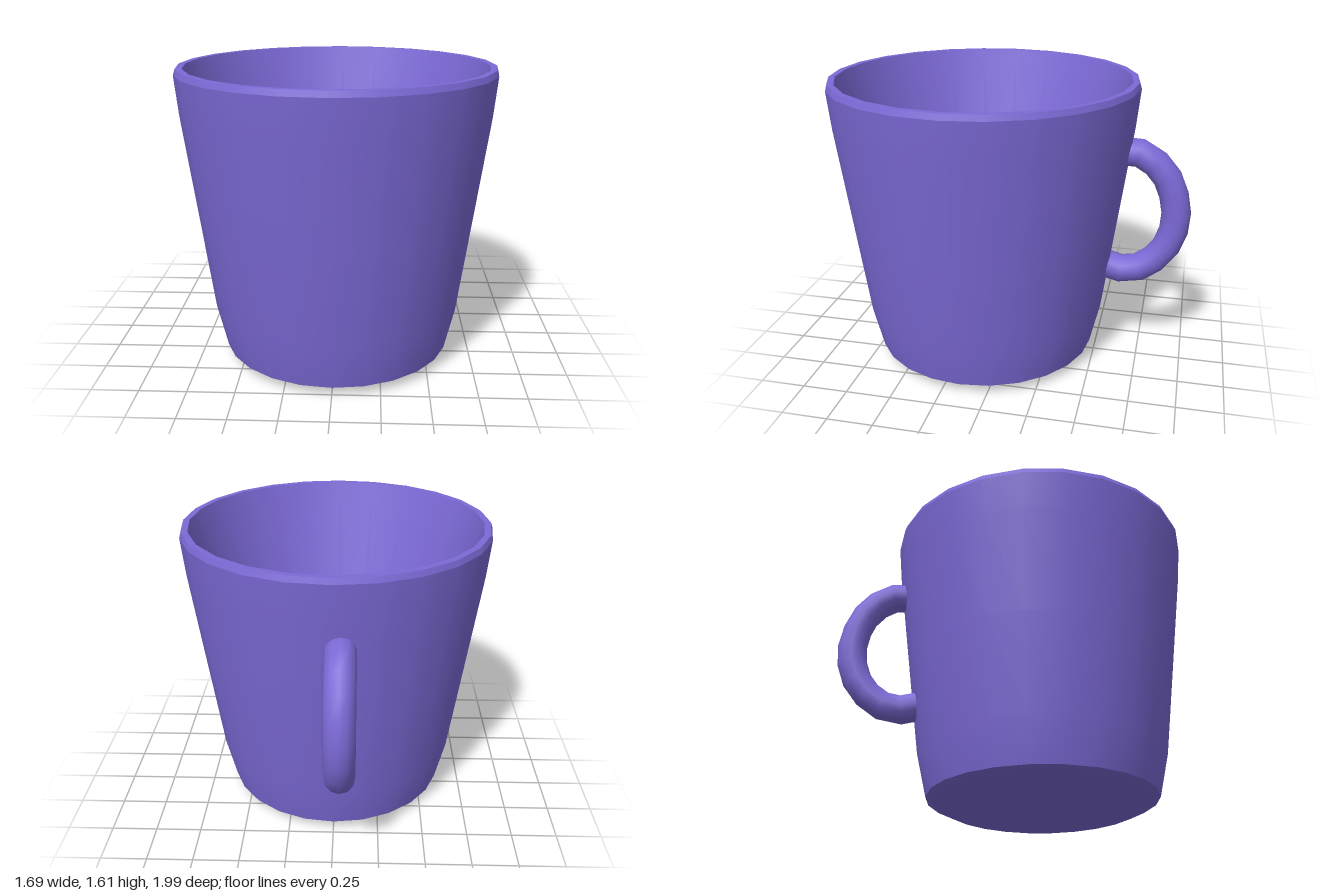
import * as THREE from 'three';

const violet = new THREE.MeshStandardMaterial({ color: 0x7c69d6 });
violet.name = 'violet';

// One smooth band of the cup; bands meet in sharp edges
function band(name, points) {
  const profile = points.map(([r, y]) => new THREE.Vector2(r, y));
  const mesh = new THREE.Mesh(new THREE.LatheGeometry(profile, 24), violet);
  mesh.name = name;
  return mesh;
}

export function createModel() {
  const model = new THREE.Group();
  model.name = 'mug';

  // Tapered cup, set forward to leave room for the handle
  const cup = new THREE.Group();
  cup.name = 'cup';
  cup.position.z = 0.15;
  cup.add(
    band('base', [[0, 0], [0.12, 0], [0.53, 0.01], [0.625, 0.055]]),
    band('outerWall', [[0.625, 0.055], [0.68, 0.29], [0.75, 0.81], [0.825, 1.37], [0.845, 1.575]]),
    band('rimEdge', [[0.845, 1.575], [0.835, 1.605]]),
    band('rim', [[0.835, 1.605], [0.8, 1.605]]),
    band('innerWall', [[0.8, 1.605], [0.36, 0.13]]),
    band('floorEdge', [[0.36, 0.13], [0.33, 0.1]]),
    band('floor', [[0.33, 0.1], [0, 0.1]])
  );
  model.add(cup);

  // Round handle at the back, its ends buried in the wall
  const path = new THREE.CatmullRomCurve3([
    [1.22, -0.6], [1.22, -0.69], [1.184, -0.768], [1.092, -0.855], [0.988, -0.9], [0.87, -0.92],
    [0.747, -0.903], [0.648, -0.855], [0.572, -0.78], [0.527, -0.69], [0.53, -0.59], [0.55, -0.53]
  ].map(([y, z]) => new THREE.Vector3(-0.04, y, z)));
  const handle = new THREE.Mesh(new THREE.TubeGeometry(path, 11, 0.08, 12), violet);
  handle.name = 'handle';
  model.add(handle);

  return model;
}
